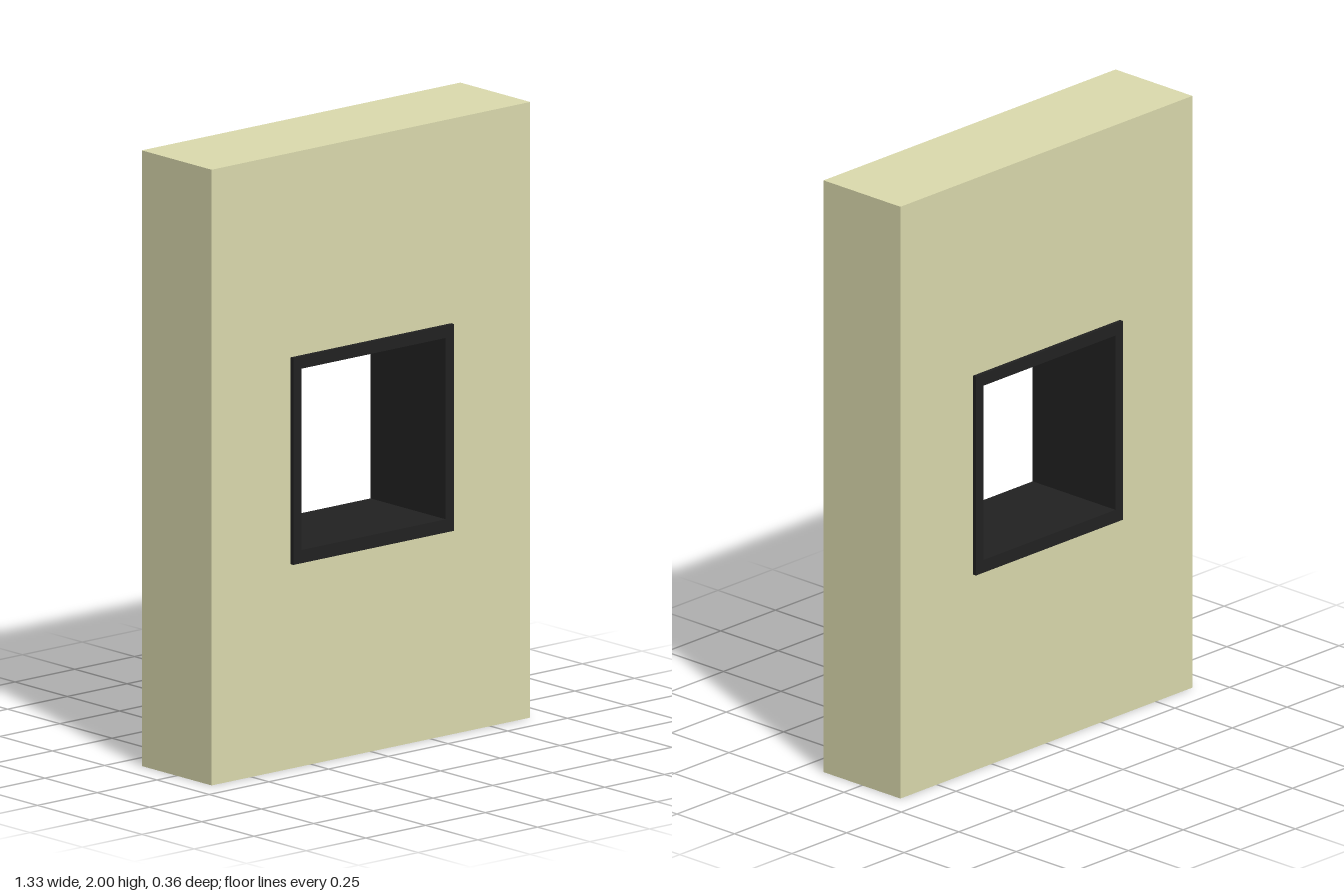
import * as THREE from 'three';

// Upright rectangular slab with a rectangular hole, extruded evenly about z = 0
function slabWithHole(name, color, outer, inner, depth) {
  const rect = (path, { x, y0, y1 }) =>
    path.moveTo(-x, y0).lineTo(x, y0).lineTo(x, y1).lineTo(-x, y1).closePath();
  const shape = rect(new THREE.Shape(), outer);
  shape.holes.push(rect(new THREE.Path(), inner));
  const geometry = new THREE.ExtrudeGeometry(shape, { depth, bevelEnabled: false });
  geometry.translate(0, 0, -depth / 2);
  const mesh = new THREE.Mesh(geometry, new THREE.MeshStandardMaterial({ color }));
  mesh.name = name;
  return mesh;
}

export function createModel() {
  const model = new THREE.Group();
  model.name = 'wallWithWindow';

  // Wall panel, its opening just covered by the frame
  model.add(slabWithHole('wall', 0xdddcaf,
    { x: 0.667, y0: 0, y1: 2 }, { x: 0.333, y0: 0.667, y1: 1.333 }, 0.334));

  // Frame lining the opening and standing slightly proud on both faces
  model.add(slabWithHole('windowFrame', 0x222222,
    { x: 0.336, y0: 0.664, y1: 1.336 }, { x: 0.302, y0: 0.707, y1: 1.296 }, 0.36));

  return model;
}
